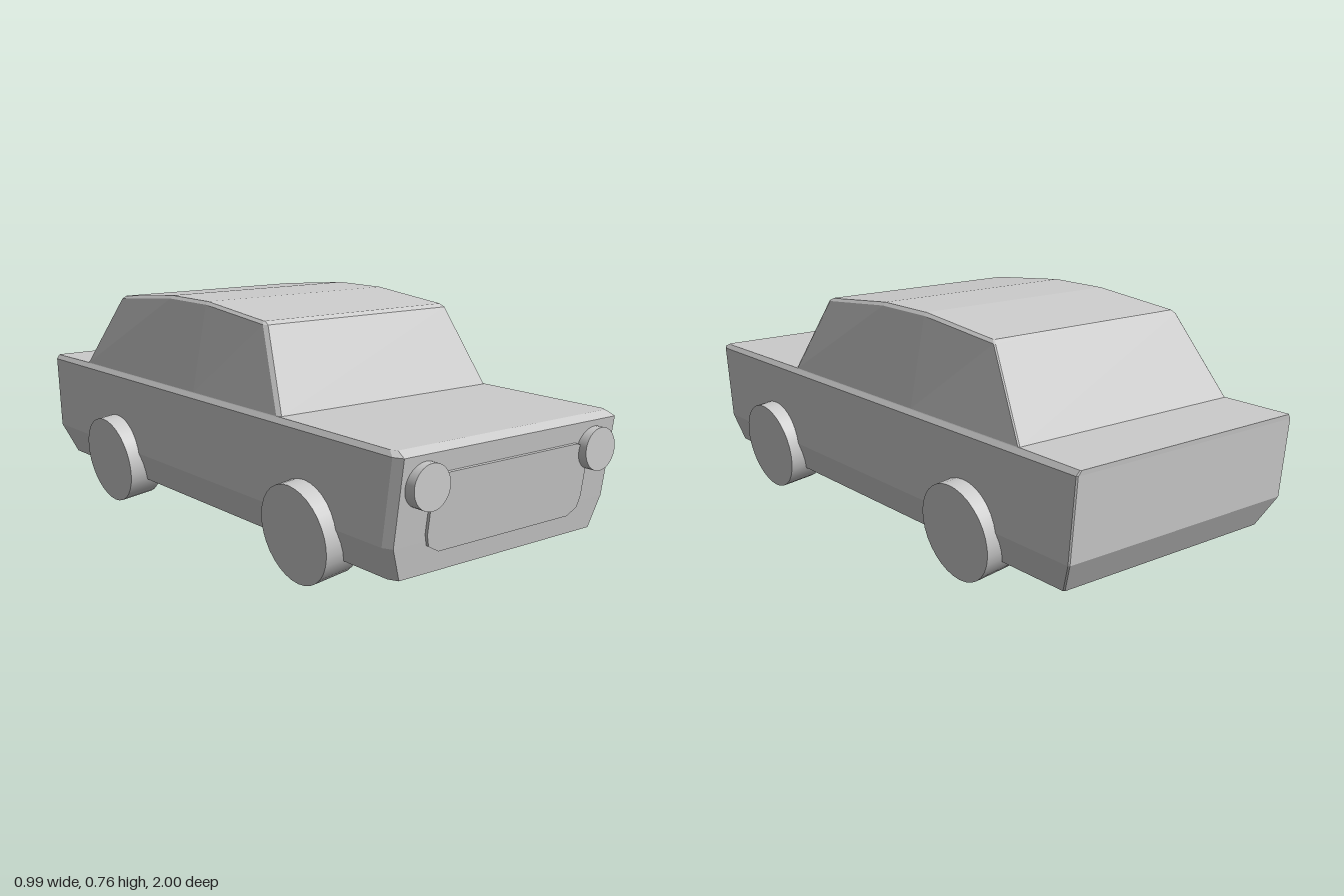
import * as THREE from 'three';

const bodyMat = new THREE.MeshStandardMaterial({ color: 0xcccccc, flatShading: true, side: THREE.DoubleSide });
const roundMat = new THREE.MeshStandardMaterial({ color: 0xcccccc, side: THREE.DoubleSide });

// One horizontal loop of 12 corners: the +x half from front to back, then its mirror.
// Corners are cut by cf (front) and cb (back); lift raises the middle of the sides.
function ring({ y, w, front, back, cf = 0.005, cb = 0.004, lift = 0 }) {
  const half = [
    [w - cf, y, front], [w, y, front - 2 * cf],
    [w, y + lift, -0.03], [w, y + lift, -0.25],
    [w, y, back + cb], [w - cb, y, back],
  ];
  return [...half, ...half.map(([x, py, z]) => [-x, py, z]).reverse()];
}

// Skins a stack of loops from bottom to top, optionally closing the top with cross strips.
function loft(rings, closeTop) {
  const n = 12, index = [];
  const quad = (a, b, c, d) => index.push(a, b, c, a, c, d);
  for (let r = 0; r < rings.length - 1; r++) {
    for (let i = 0; i < n; i++) {
      const j = (i + 1) % n, a = r * n, b = a + n;
      quad(a + i, a + j, b + j, b + i);
    }
  }
  if (closeTop) {
    const t = (rings.length - 1) * n;
    for (let i = 0; i < 5; i++) quad(t + i, t + i + 1, t + 10 - i, t + 11 - i);
  }
  const geo = new THREE.BufferGeometry();
  geo.setAttribute('position', new THREE.Float32BufferAttribute(rings.flat(2), 3));
  geo.setIndex(index);
  geo.computeVertexNormals();
  return geo;
}

// Hollow drum along +y, closed only at its outer (+y) end.
function drum(name, radius, depth) {
  const group = new THREE.Group();
  group.name = name;
  const rim = new THREE.Mesh(new THREE.CylinderGeometry(radius, radius, depth, 32, 1, true), roundMat);
  rim.name = name + 'Rim';
  const face = new THREE.Mesh(new THREE.CircleGeometry(radius, 32), roundMat);
  face.name = name + 'Face';
  face.rotation.x = -Math.PI / 2;
  face.position.y = depth / 2;
  group.add(rim, face);
  return group;
}

export function createModel() {
  const car = new THREE.Group();
  car.name = 'car';
  const add = (name, geo, mat) => {
    const mesh = new THREE.Mesh(geo, mat);
    mesh.name = name;
    car.add(mesh);
    return mesh;
  };

  // Lower body, open underneath, with the deck running in to the cabin base
  const cabinBase = ring({ y: 0.472, w: 0.429, front: 0.44, back: -0.755, cf: 0.008 });
  add('body', loft([
    ring({ y: 0.1, w: 0.405, front: 0.925, back: -0.92, cf: 0.015 }),
    ring({ y: 0.2, w: 0.441, front: 0.94, back: -0.975, cf: 0.015 }),
    ring({ y: 0.455, w: 0.441, front: 0.977, back: -0.998, cf: 0.015 }),
    ring({ y: 0.47, w: 0.43, front: 0.945, back: -1, cf: 0.01 }),
    cabinBase,
  ]), bodyMat);

  // Cabin with sloped glass, narrow roof edge and gently arched roof
  add('cabin', loft([
    cabinBase,
    ring({ y: 0.722, w: 0.375, front: 0.3, back: -0.583, cf: 0.008, lift: 0.03 }),
    ring({ y: 0.732, w: 0.366, front: 0.28, back: -0.57, cf: 0.003, lift: 0.03 }),
  ], true), bodyMat);

  // Grille panel lying on the sloped nose
  const outline = [[0.265, -0.117], [0.305, -0.095], [0.315, -0.06], [0.315, 0.075], [0.285, 0.105], [0.26, 0.115]];
  const corners = [...outline, ...outline.map(([x, y]) => [-x, y]).reverse()];
  const shape = new THREE.Shape(corners.map(([x, y]) => new THREE.Vector2(x, y)));
  const grille = add('grille', new THREE.ExtrudeGeometry(shape, { depth: 0.012, bevelEnabled: false }), bodyMat);
  grille.position.set(0, 0.281, 0.949);
  grille.rotation.x = 0.14;

  // Headlights
  for (const [name, x] of [['leftHeadlight', 0.337], ['rightHeadlight', -0.345]]) {
    const lamp = drum(name, 0.066, 0.07);
    lamp.rotation.x = Math.PI / 2;
    lamp.position.set(x, 0.37, 0.965);
    car.add(lamp);
  }

  // Wheels, leaning outward at the top
  for (const [end, z] of [['front', 0.57], ['rear', -0.523]]) {
    for (const [sideName, side, x, y] of [['Left', 1, 0.415, 0.17], ['Right', -1, -0.42, 0.162]]) {
      const wheel = drum(end + sideName + 'Wheel', 0.153, 0.119);
      wheel.rotation.z = -side * (Math.PI / 2 + 0.125);
      wheel.position.set(x, y, z);
      car.add(wheel);
    }
  }
  return car;
}
